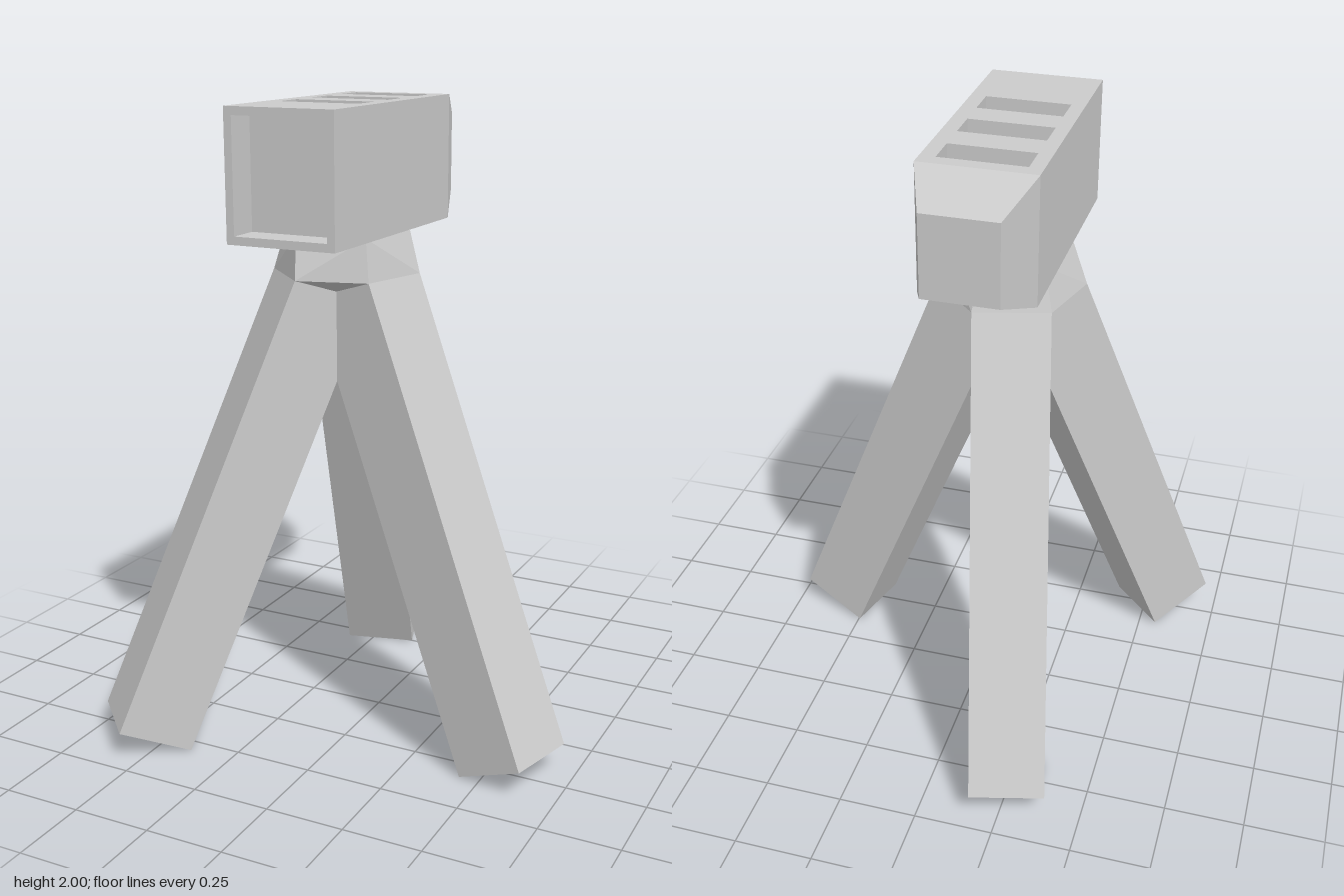
import * as THREE from 'three';
import { ConvexGeometry } from 'three/addons/geometries/ConvexGeometry.js';

const material = new THREE.MeshStandardMaterial({ color: 0xcccccc, flatShading: true });
const AXIS = { x: -0.077, z: 0.073 };   // vertical axis of the tripod
const HALF = 0.118;                     // half width of a leg
const LEG_ANGLES = [15, 135, 255];

function part(name, geometry) {
  const mesh = new THREE.Mesh(geometry, material);
  mesh.name = name;
  return mesh;
}

const solid = (name, points) =>
  part(name, new ConvexGeometry(points.map(p => new THREE.Vector3(...p))));

// Point at radius r along a leg's heading, shifted sideways by s
function polar(degrees, r, s, y) {
  const a = THREE.MathUtils.degToRad(degrees);
  return [
    AXIS.x + r * Math.cos(a) - s * Math.sin(a), y,
    AXIS.z + r * Math.sin(a) + s * Math.cos(a),
  ];
}

// Rectangle traced as a shape or as a hole
function rect(path, x0, y0, x1, y1) {
  path.moveTo(x0, y0);
  path.lineTo(x1, y0);
  path.lineTo(x1, y1);
  path.lineTo(x0, y1);
  path.closePath();
  return path;
}

const plate = (shape, depth) =>
  new THREE.ExtrudeGeometry(shape, { depth, bevelEnabled: false });

// Corners of an upright rectangle at a given z
const frame = (x0, y0, x1, y1, z) => [[x0, y0, z], [x1, y0, z], [x1, y1, z], [x0, y1, z]];

function makeHead() {
  const head = new THREE.Group();
  head.name = 'head';
  const x0 = -0.25, x1 = 0.1, y0 = 1.61, y1 = 2, back = -0.3, front = 0.48, depth = 0.1;

  // Front rim around the recessed opening
  const rim = rect(new THREE.Shape(), x0, y0, x1, y1);
  rim.holes.push(rect(new THREE.Path(), -0.225, 1.635, 0.075, 1.975));
  const rimMesh = part('frontRim', plate(rim, depth));
  rimMesh.position.z = front - depth;
  head.add(rimMesh);

  // Main block below the slots
  const length = front - depth - back, height = y1 - depth - y0;
  const block = part('headBlock', new THREE.BoxGeometry(x1 - x0, height, length));
  block.position.set((x0 + x1) / 2, y0 + height / 2, back + length / 2);
  head.add(block);

  // Top plate with three slots, drawn in x and -z and laid flat
  const top = rect(new THREE.Shape(), x0, -(front - depth), x1, -back);
  for (const z of [-0.203, -0.005, 0.19]) {
    top.holes.push(rect(new THREE.Path(), -0.207, -z - 0.051, 0.053, -z + 0.051));
  }
  const topMesh = part('slottedTop', plate(top, depth));
  topMesh.rotation.x = -Math.PI / 2;
  topMesh.position.y = y1 - depth;
  head.add(topMesh);

  // Tapered rear end
  head.add(solid('taperedRear', [
    ...frame(x0, y0, x1, y1, back),
    ...frame(-0.19, 1.68, 0.037, 1.93, -0.47),
  ]));
  return head;
}

export function createModel() {
  const model = new THREE.Group();
  model.name = 'tripodDevice';
  model.add(makeHead());

  // Three square legs leaning in to the hub
  const hubPoints = [];
  for (const angle of LEG_ANGLES) {
    const points = [];
    for (const s of [-HALF, HALF]) {
      points.push(
        polar(angle, 0.784, s, 0.095), polar(angle, 0.562, s, 0),
        polar(angle, 0.197, s, 1.483), polar(angle, -0.066, s, 1.483),
      );
      hubPoints.push(polar(angle, 0.197, s, 1.483));
    }
    model.add(solid('leg', points));
  }

  // Hub joining the legs to the head
  const hubTop = [
    [-0.155, 0.245], [0.065, 0.22], [0.1, -0.01],
    [-0.03, -0.1], [-0.21, -0.05], [-0.25, 0.14],
  ];
  hubPoints.push(...hubTop.map(([x, z]) => [x, 1.612, z]), [AXIS.x, 1.36, AXIS.z]);
  model.add(solid('hub', hubPoints));
  return model;
}
